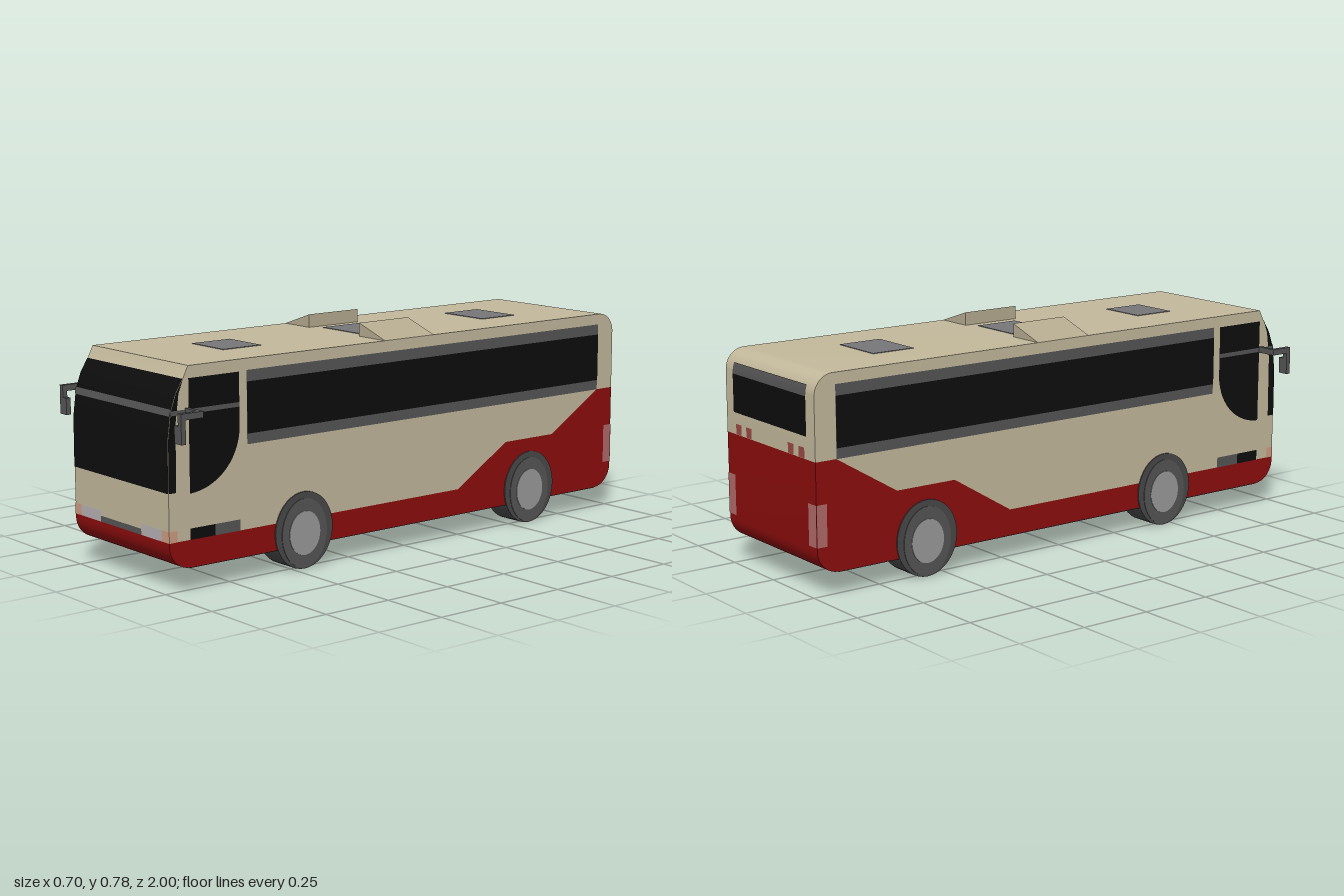
import * as THREE from 'three';
import { toCreasedNormals } from 'three/addons/utils/BufferGeometryUtils.js';

const CREAM = 0xc2b89b, RED = 0x8c0d0d, BLACK = 0x0d0d0d, GREY = 0x555555;
const HALF = 0.273; // half the body width

export function createModel() {
  const bus = new THREE.Group();
  bus.name = 'bus';

  const add = (name, geometry, color, side = THREE.FrontSide) => {
    const mesh = new THREE.Mesh(geometry, new THREE.MeshStandardMaterial({ color, side }));
    mesh.name = name;
    bus.add(mesh);
    return mesh;
  };
  const box = (name, color, [x0, x1], [y0, y1], [z0, z1]) =>
    add(name, new THREE.BoxGeometry(Math.abs(x1 - x0), y1 - y0, z1 - z0), color)
      .position.set((x0 + x1) / 2, (y0 + y1) / 2, (z0 + z1) / 2);
  const polygon = pts => new THREE.Shape(pts.map(([z, y]) => new THREE.Vector2(z, y)));
  const rect = (z0, z1, y0, y1) => polygon([[z0, y0], [z1, y0], [z1, y1], [z0, y1]]);

  // Side profile (z, y) swept across the width
  const section = (name, shape, color) => {
    const g = new THREE.ExtrudeGeometry(shape, { depth: HALF * 2, bevelEnabled: false, curveSegments: 10 });
    g.translate(0, 0, -HALF).rotateY(-Math.PI / 2);
    add(name, toCreasedNormals(g, 0.5), color);
  };
  // Flat marking (z, y) on both flanks
  const flank = (name, shape, color, layer = 1) => {
    for (const s of [1, -1]) {
      const g = new THREE.ShapeGeometry(shape, 16).rotateY(-Math.PI / 2).translate(s * (HALF + 0.0015 * layer), 0, 0);
      add(name, g, color, THREE.DoubleSide);
    }
  };
  // Strip between x0 and x1 that follows a list of (z, y) points
  const strip = (name, x0, x1, pts, color) => {
    const g = new THREE.PlaneGeometry(x1 - x0, 1, 1, pts.length - 1).translate((x0 + x1) / 2, 0, 0);
    const p = g.attributes.position;
    for (let i = 0; i < p.count; i++) {
      const [z, y] = pts[i >> 1];
      p.setXYZ(i, p.getX(i), y, z);
    }
    g.computeVertexNormals();
    add(name, g, color, THREE.DoubleSide);
  };

  // Lower red body, stepping up towards the tail
  const lower = new THREE.Shape();
  lower.moveTo(-0.918, 0.08);
  lower.lineTo(0.918, 0.08);
  lower.absarc(0.918, 0.16, 0.08, -Math.PI / 2, 0, false);
  for (const [z, y] of [[0.998, 0.17], [-0.23, 0.17], [-0.46, 0.31], [-0.69, 0.31], [-0.92, 0.45], [-0.998, 0.45], [-0.998, 0.16]])
    lower.lineTo(z, y);
  lower.absarc(-0.918, 0.16, 0.08, Math.PI, Math.PI * 1.5, false);
  section('lowerBody', lower, RED);

  // Upper cream body with raked front and rounded tail
  const screen = [[0.998, 0.33], [0.997, 0.5], [0.985, 0.59], [0.965, 0.645], [0.937, 0.69]];
  const upper = new THREE.Shape();
  upper.moveTo(0.998, 0.17);
  for (const [z, y] of [...screen, [0.917, 0.73], [-0.928, 0.73]]) upper.lineTo(z, y);
  upper.absarc(-0.928, 0.66, 0.07, Math.PI / 2, Math.PI, false);
  for (const [z, y] of [[-0.998, 0.45], [-0.92, 0.45], [-0.69, 0.31], [-0.46, 0.31], [-0.23, 0.17]])
    upper.lineTo(z, y);
  section('upperBody', upper, CREAM);
  box('floor', 0x262626, [-HALF, HALF], [0.078, 0.082], [-0.918, 0.918]);

  // Windscreen, wrapping a little onto the flanks
  strip('windscreen', -HALF, HALF, screen.map(([z, y]) => [z + 0.0015, y]), BLACK);
  strip('windscreenBar', -HALF, HALF, [[0.991, 0.575], [0.986, 0.598]], GREY);
  flank('windscreenEdge', polygon([...screen, [0.955, 0.645], [0.968, 0.55], [0.97, 0.33]]), BLACK);

  // Cab windows with a curved lower edge
  const cab = new THREE.Shape();
  cab.moveTo(0.917, 0.69);
  cab.lineTo(0.72, 0.69);
  cab.lineTo(0.72, 0.5);
  cab.bezierCurveTo(0.73, 0.4, 0.81, 0.325, 0.917, 0.32);
  flank('cabWindow', cab, BLACK);
  flank('cabWindowBar', rect(0.72, 0.985, 0.577, 0.592), GREY, 2);

  // Passenger window bands
  flank('windowFrame', rect(-0.92, 0.69, 0.45, 0.692), GREY);
  flank('sideWindow', rect(-0.92, 0.69, 0.485, 0.655), BLACK, 2);

  // Flank vents and corner lamps
  flank('sideVentFront', rect(0.82, 0.917, 0.17, 0.207), BLACK);
  flank('sideVentRear', rect(0.72, 0.82, 0.17, 0.207), GREY);
  flank('sideIndicator', rect(0.968, 0.998, 0.17, 0.207), 0xcf9b80);
  flank('rearLampSide', rect(-0.998, -0.96, 0.17, 0.31), 0xb06a68);

  // Front grille
  strip('grille', -0.118, 0.118, [[0.9995, 0.17], [0.9995, 0.19]], GREY);

  // Rear window
  strip('rearWindow', -0.225, 0.225, [[-1, 0.525], [-1, 0.655]], BLACK);
  strip('rearWindowFrame', -0.225, 0.225, [[-1, 0.655], [-0.9985, 0.675], [-0.993, 0.692]], GREY);

  for (const s of [1, -1]) {
    const pair = (a, b) => (s > 0 ? [a, b] : [-b, -a]);
    // Front and rear lamps
    strip('headlight', ...pair(0.118, 0.235), [[0.9995, 0.17], [0.9995, 0.207]], 0xb6b2b4);
    strip('indicator', ...pair(0.235, HALF), [[0.9995, 0.17], [0.9995, 0.207]], 0xcf9b80);
    strip('rearLamp', ...pair(0.228, HALF), [[-1, 0.17], [-1, 0.31]], 0xb06a68);
    for (const x of [0.13, 0.195])
      strip('rearMarker', ...pair(x - 0.017, x + 0.017), [[-1, 0.452], [-1, 0.487]], 0x994a44);

    // Mirror: outward arm, forward arm, neck and head
    box('mirrorArm', GREY, pair(0.26, 0.351), [0.575, 0.596], [0.915, 0.93]);
    box('mirrorReach', GREY, pair(0.334, 0.351), [0.575, 0.596], [0.93, 0.985]);
    box('mirrorNeck', GREY, pair(0.333, 0.351), [0.555, 0.596], [0.983, 1]);
    box('mirrorHead', GREY, pair(0.313, 0.351), [0.498, 0.555], [0.983, 1]);

    // Wedge-shaped roof unit, tall on its inner edge
    const wedge = polygon([[s * 0.137, 0.728], [s * 0.273, 0.73], [s * 0.137, 0.776]]);
    add('roofUnit', new THREE.ExtrudeGeometry(wedge, { depth: 0.22, bevelEnabled: false }).translate(0, 0, -0.112), 0xb5ab8f);

    // Wheels: tyre, rim and hub, slightly taller than long
    for (const z of [0.46, -0.575]) {
      const parts = [['tyre', 0.12, 0.131, 0.178, 0.277, 0x484848], ['rim', 0.094, 0.118, 0.26, 0.279, GREY], ['hub', 0.064, 0.075, 0.26, 0.281, 0x9a9a9a]];
      for (const [name, rz, ry, x0, x1, color] of parts) {
        const g = new THREE.CylinderGeometry(1, 1, x1 - x0, 40).rotateZ(Math.PI / 2).scale(1, ry, rz);
        add(name, g, color).position.set(s * (x0 + x1) / 2, name === 'tyre' ? 0.131 : 0.122, z);
      }
    }
  }

  // Roof hatches
  for (const [z0, z1, w] of [[-0.66, -0.5, 0.1], [-0.085, 0.075, 0.1], [0.49, 0.645, 0.087]])
    box('roofHatch', 0x77777a, [-w, w], [0.726, 0.732], [z0, z1]);

  return bus;
}
